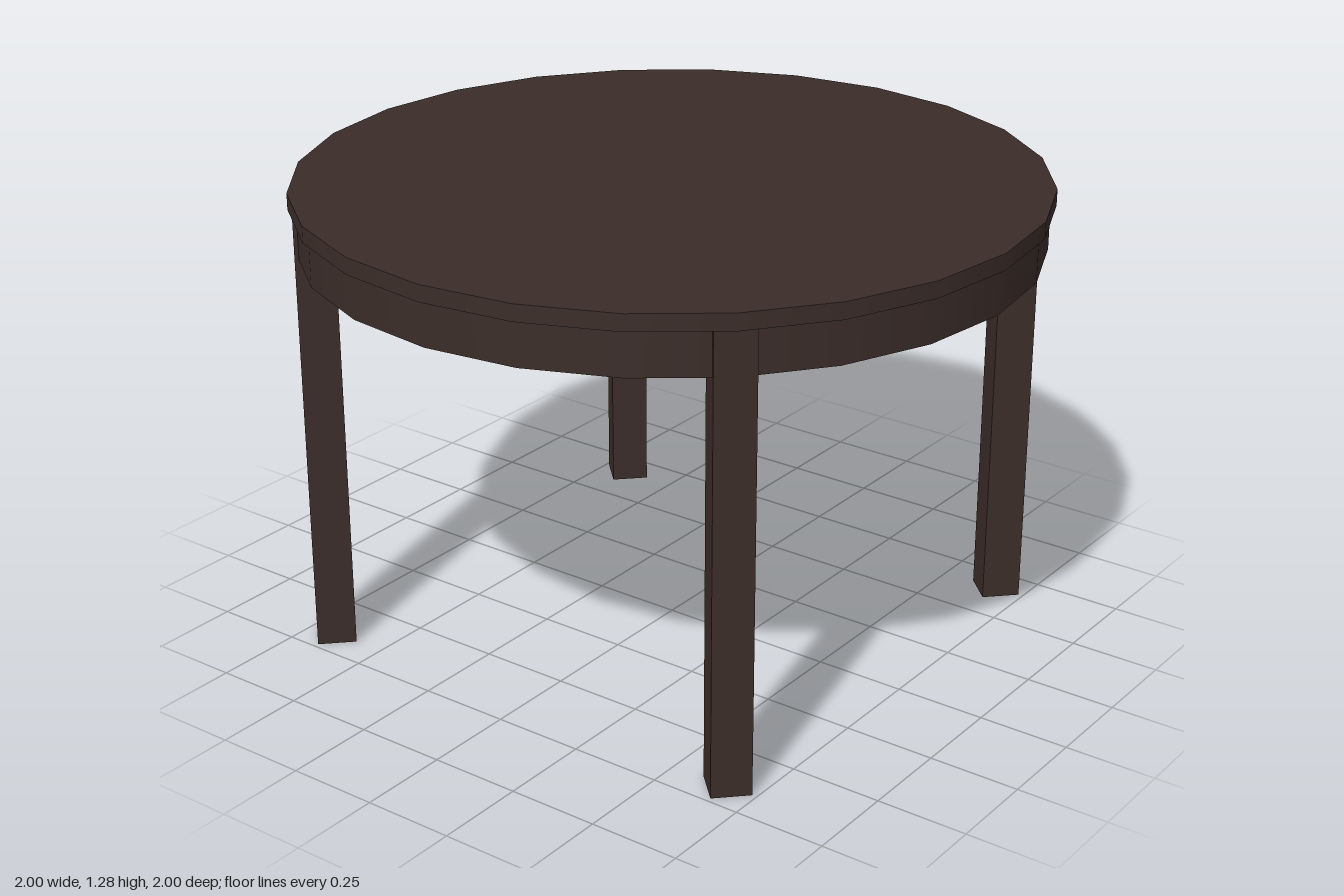
import * as THREE from 'three';

const SIDES = 24;
const TOP_Y = 1.285, UNDER_Y = 1.24, APRON_Y = 1.12;
const APRON_OUT = 0.985, APRON_IN = 0.955;
const LEG_SIZE = 0.105, LEG_POS = 0.6625;

export function createModel() {
  const dark = new THREE.MeshStandardMaterial({ color: 0x3b2d29 });
  const pale = new THREE.MeshStandardMaterial({ color: 0xd2b98c });
  const model = new THREE.Group();
  model.name = 'roundTable';

  const add = (parent, name, geometry, material) => {
    const mesh = new THREE.Mesh(geometry, material);
    mesh.name = name;
    parent.add(mesh);
    return mesh;
  };

  // Round top: dark side and top, bare wood underneath
  const thickness = TOP_Y - UNDER_Y;
  add(model, 'tableTop', new THREE.CylinderGeometry(1, 1, thickness, SIDES), [dark, dark, pale])
    .position.y = UNDER_Y + thickness / 2;

  // Apron: a thin ring, dark outside and bare wood inside and below
  const apron = new THREE.Group();
  apron.name = 'apron';
  model.add(apron);
  const band = (r1, y1, r2, y2) => new THREE.LatheGeometry(
    [new THREE.Vector2(r1, y1), new THREE.Vector2(r2, y2)], SIDES);
  add(apron, 'apronOutside', band(APRON_OUT, APRON_Y, APRON_OUT, UNDER_Y), dark);
  add(apron, 'apronInside', band(APRON_IN, UNDER_Y, APRON_IN, APRON_Y), pale);
  add(apron, 'apronBottom', band(APRON_IN, APRON_Y, APRON_OUT, APRON_Y), pale);

  // Four square legs turned to face outward, with bare wood feet
  const legGeometry = new THREE.BoxGeometry(LEG_SIZE, UNDER_Y, LEG_SIZE);
  const legMaterials = [dark, dark, dark, pale, dark, dark];
  for (const [zName, z] of [['front', 1], ['back', -1]]) {
    for (const [xName, x] of [['Left', 1], ['Right', -1]]) {
      const leg = add(model, `${zName}${xName}Leg`, legGeometry, legMaterials);
      leg.position.set(x * LEG_POS, UNDER_Y / 2, z * LEG_POS);
      leg.rotation.y = Math.PI / 4;
    }
  }

  return model;
}
